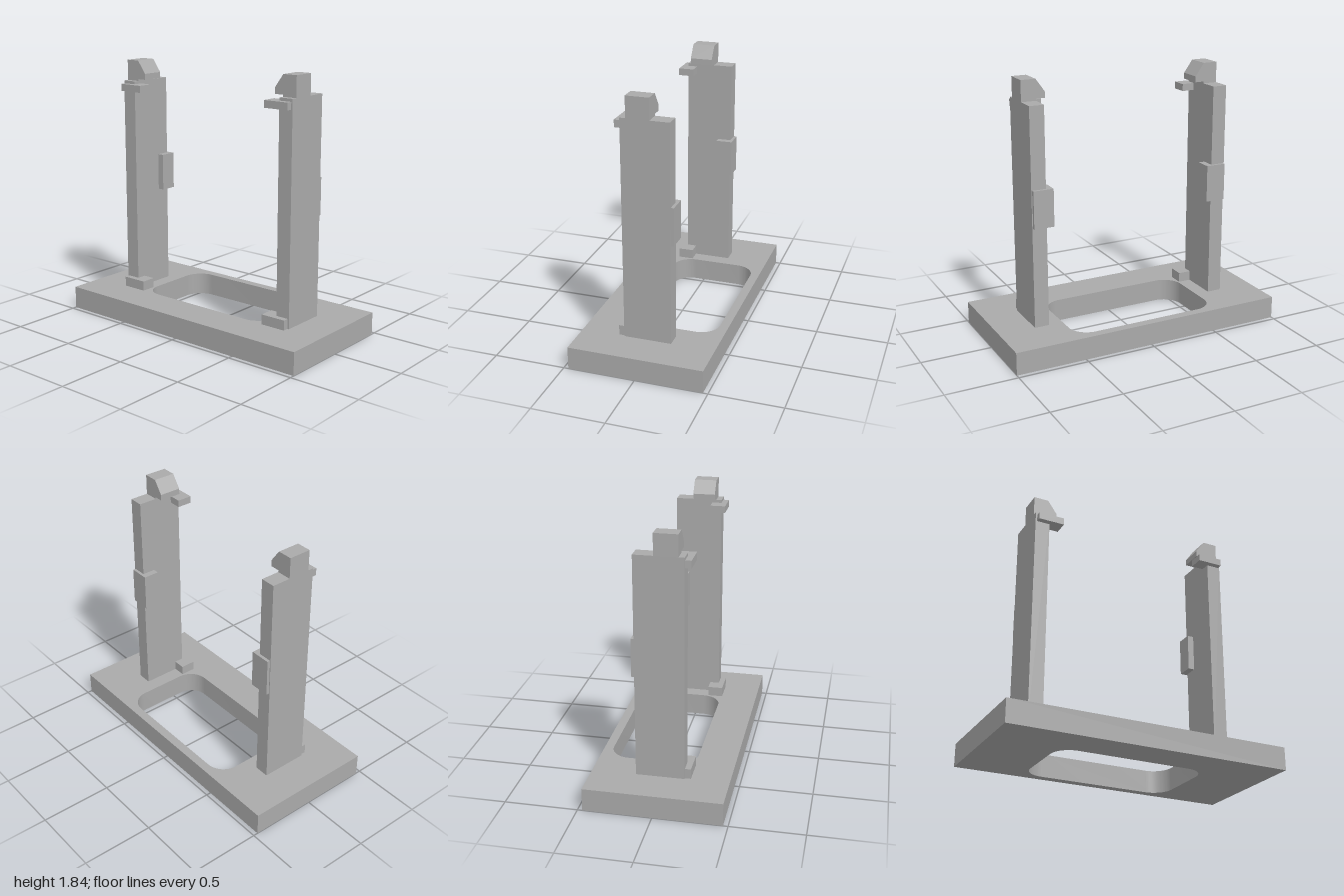
import * as THREE from 'three';
import { toCreasedNormals } from 'three/addons/utils/BufferGeometryUtils.js';

export function createModel() {
  const group = new THREE.Group();
  const grey = new THREE.MeshStandardMaterial({ color: 0xaaaaaa });
  grey.name = 'plain grey';

  function add(name, geometry, parent = group) {
    const mesh = new THREE.Mesh(geometry, grey);
    mesh.name = name;
    parent.add(mesh);
    return mesh;
  }

  // Box given by its extents; side mirrors it in x
  function block(name, parent, side, [x0, x1], [y0, y1], [z0, z1]) {
    const mesh = add(name, new THREE.BoxGeometry(x1 - x0, y1 - y0, z1 - z0), parent);
    mesh.position.set(side * (x0 + x1) / 2, (y0 + y1) / 2, (z0 + z1) / 2);
  }

  // Base plate with a rounded window set towards the back
  const plate = new THREE.Shape([[-1, -0.467], [1, -0.467], [1, 0.467], [-1, 0.467]]
    .map(([x, y]) => new THREE.Vector2(x, y)));
  const w = 0.537, front = -0.2, back = 0.405, r = 0.135;
  const hole = new THREE.Path();
  hole.absarc(w - r, back - r, r, 0, Math.PI / 2);
  hole.absarc(-w + r, back - r, r, Math.PI / 2, Math.PI);
  hole.absarc(-w + r, front + r, r, Math.PI, Math.PI * 1.5);
  hole.absarc(w - r, front + r, r, Math.PI * 1.5, Math.PI * 2);
  hole.closePath();
  plate.holes.push(hole);
  const baseGeometry = new THREE.ExtrudeGeometry(plate, { depth: 0.16, bevelEnabled: false, curveSegments: 12 });
  baseGeometry.rotateX(-Math.PI / 2);
  add('basePlate', toCreasedNormals(baseGeometry, 0.5));

  // Mirrored uprights with their tabs and hooks
  for (const side of [-1, 1]) {
    const upright = new THREE.Group();
    upright.name = side > 0 ? 'leftUpright' : 'rightUpright';
    group.add(upright);

    block('post', upright, side, [0.638, 0.742], [0.16, 1.695], [-0.165, 0.165]);
    block('lowerTab', upright, side, [0.547, 0.731], [0.16, 0.23], [0.098, 0.206]);
    block('upperTab', upright, side, [0.547, 0.731], [1.625, 1.675], [0.098, 0.206]);
    block('backStop', upright, side, [0.592, 0.736], [0.87, 1.133], [-0.186, -0.07]);

    // Chamfered snap hook overhanging the inner side
    const profile = [[0.742, 1.695], [0.742, 1.84], [0.638, 1.84], [0.573, 1.75], [0.573, 1.708], [0.638, 1.708], [0.638, 1.695]];
    const shape = new THREE.Shape(profile.map(([x, y]) => new THREE.Vector2(side * x, y)));
    const hook = new THREE.ExtrudeGeometry(shape, { depth: 0.158, bevelEnabled: false });
    hook.translate(0, 0, -0.032);
    add('snapHook', hook, upright);
  }

  return group;
}
